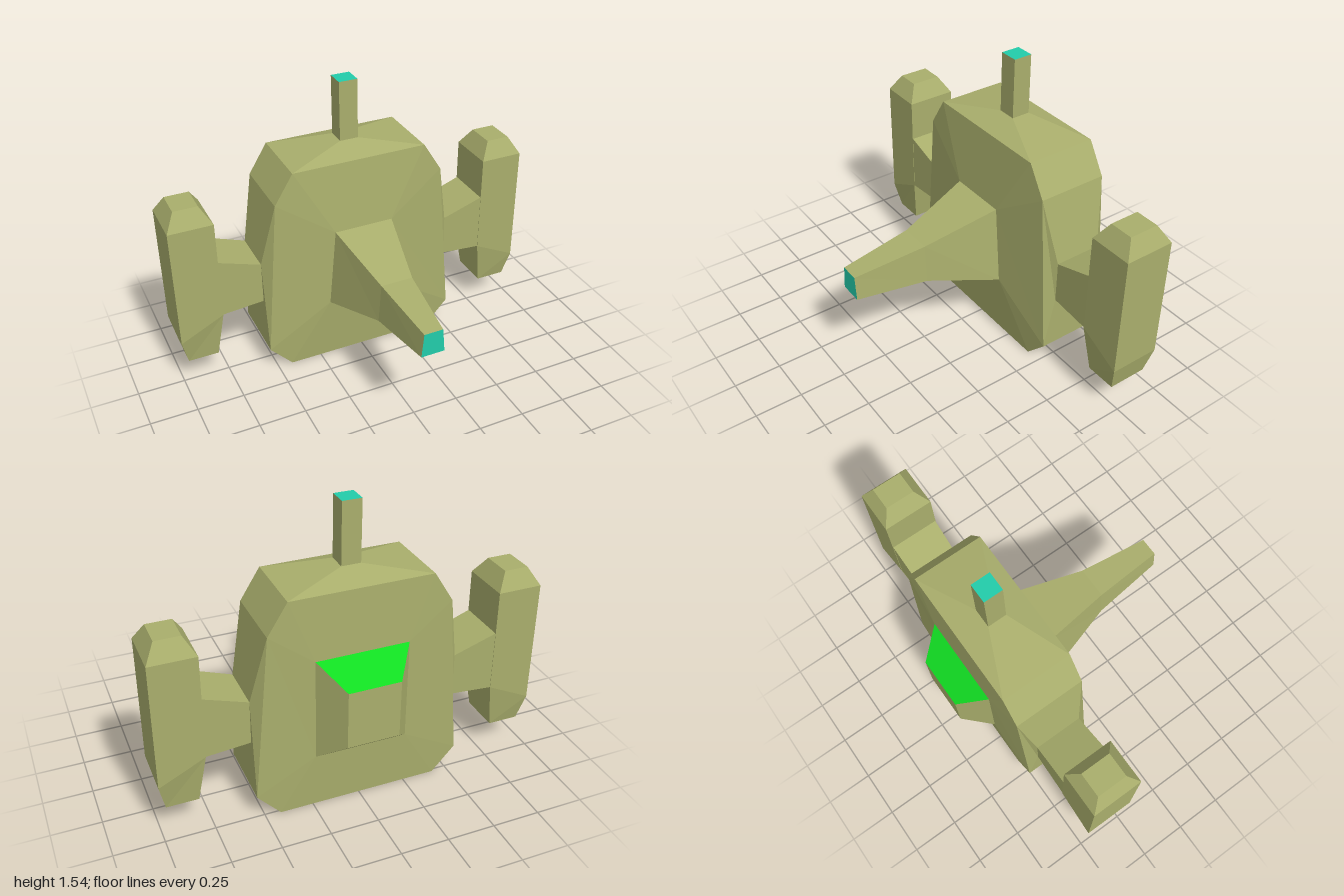
import * as THREE from 'three';

const paint = (color) => new THREE.MeshStandardMaterial({ color, flatShading: true });

// Rings of [x, y, z], counter-clockwise as seen from the end they advance to
const rectX = (x, y0, y1, z0, z1) => [[x, y0, z0], [x, y1, z0], [x, y1, z1], [x, y0, z1]];
const rectY = (y, x0, x1, z0, z1) => [[x0, y, z0], [x0, y, z1], [x1, y, z1], [x1, y, z0]];
const trapZ = (z, y0, y1, low, high) => [[-low, y0, z], [low, y0, z], [high, y1, z], [-high, y1, z]];

// Joins successive rings; `edges` limits which ring edges become faces
function loft(name, material, rings, edges = rings[0].map((_, i) => i)) {
  const out = [];
  const same = (a, b) => a.every((v, i) => v === b[i]);
  const tri = (a, b, c) => {
    if (!same(a, b) && !same(b, c) && !same(a, c)) out.push(...a, ...b, ...c);
  };
  for (let r = 0; r + 1 < rings.length; r++) {
    const p = rings[r], q = rings[r + 1];
    for (const i of edges) {
      const j = (i + 1) % p.length;
      tri(p[i], p[j], q[j]);
      tri(p[i], q[j], q[i]);
    }
  }
  return finish(name, material, out);
}

// Flat four-cornered end face
function cap(name, material, [a, b, c, d]) {
  return finish(name, material, [a, b, c, a, c, d].flat());
}

function finish(name, material, positions) {
  const g = new THREE.BufferGeometry();
  g.setAttribute('position', new THREE.Float32BufferAttribute(positions, 3));
  g.computeVertexNormals();
  const mesh = new THREE.Mesh(g, material);
  mesh.name = name;
  return mesh;
}

export function createModel() {
  const model = new THREE.Group();
  model.name = 'spacecraft';
  const olive = paint(0xa9ae6c), teal = paint(0x22ccaa), green = paint(0x11dd22);

  // Hull: eight-sided outline, with each opening framed by its four corners
  const zFront = -0.14, zBack = -0.515, zMid = (zFront + zBack) / 2;
  const outline = [[-0.42, 0], [0.42, 0], [0.54, 0.13], [0.465, 1.01],
    [0.365, 1.17], [-0.365, 1.17], [-0.465, 1.01], [-0.54, 0.13]];
  const hullAt = (z) => outline.map(([x, y]) => [x, y, z]);
  const spread = (quad) => [0, 1, 1, 2, 2, 3, 3, 0].map((i) => quad[i]);

  const noseBase = trapZ(-0.1, 0.37, 0.8, 0.2, 0.16);
  const backBase = trapZ(-0.53, 0.3, 0.84, 0.24, 0.24);
  model.add(
    loft('hullRim', olive, [hullAt(zBack), hullAt(zFront)], [0, 1, 3, 5, 7]),
    loft('hullFront', olive, [hullAt(zFront), spread(noseBase)]),
    loft('hullBack', olive, [hullAt(zBack).reverse(), spread(backBase).reverse()]),
  );

  // Nose
  const noseTip = trapZ(0.67, 0.515, 0.645, 0.062, 0.05);
  model.add(
    loft('nose', olive, [noseBase, trapZ(0.285, 0.478, 0.687, 0.1, 0.085), noseTip]),
    cap('noseTip', teal, noseTip),
  );

  // Rear housing with its coloured upper face
  const housing = [backBase, trapZ(-0.67, 0.42, 0.725, 0.135, 0.135)].map((r) => r.reverse());
  model.add(
    loft('rearHousing', olive, housing, [1, 2, 3]),
    loft('rearWindow', green, housing, [0]),
    cap('rearHousingEnd', olive, housing[1]),
  );

  // Roof and mast
  const mastBase = rectY(1.22, -0.05, 0.05, -0.375, -0.275);
  const mastTop = rectY(1.54, -0.05, 0.05, -0.375, -0.275);
  model.add(
    loft('roof', olive, [rectY(1.17, -0.365, 0.365, zBack, zFront), mastBase]),
    loft('mast', olive, [mastBase, mastTop]),
    cap('mastTop', teal, mastTop),
  );

  // Sides: hull flank, strut and pod, turned half round for the other side
  for (const [name, turn] of [['left', 0], ['right', Math.PI]]) {
    const side = new THREE.Group();
    side.name = name + 'Side';
    side.position.z = zMid;
    side.rotation.y = turn;

    const h = (zFront - zBack) / 2;
    const [, , [xl, yl], [xh, yh]] = outline;
    const flank = [[xl, yl, -h], [xh, yh, -h], [xh, yh, h], [xl, yl, h]];
    const root = rectX(0.54, 0.42, 0.65, -0.128, 0.128);
    side.add(
      loft('hullFlank', olive, [flank, root]),
      loft('strut', olive, [root, rectX(0.77, 0.405, 0.73, -0.133, 0.133)]),
    );

    const bottom = rectY(0.145, 0.805, 0.968, -0.105, 0.105);
    const lower = rectY(0.29, 0.765, 1, -0.135, 0.135);
    lower[0][1] = lower[1][1] = 0.405; // inner edge sits level with the strut
    const shoulder = rectY(0.955, 0.765, 1, -0.135, 0.135);
    const top = rectY(1.045, 0.82, 0.948, -0.08, 0.08);
    side.add(
      loft('pod', olive, [bottom, lower, shoulder, top]),
      cap('podTop', olive, top),
      cap('podThruster', teal, [...bottom].reverse()),
    );
    model.add(side);
  }
  return model;
}
